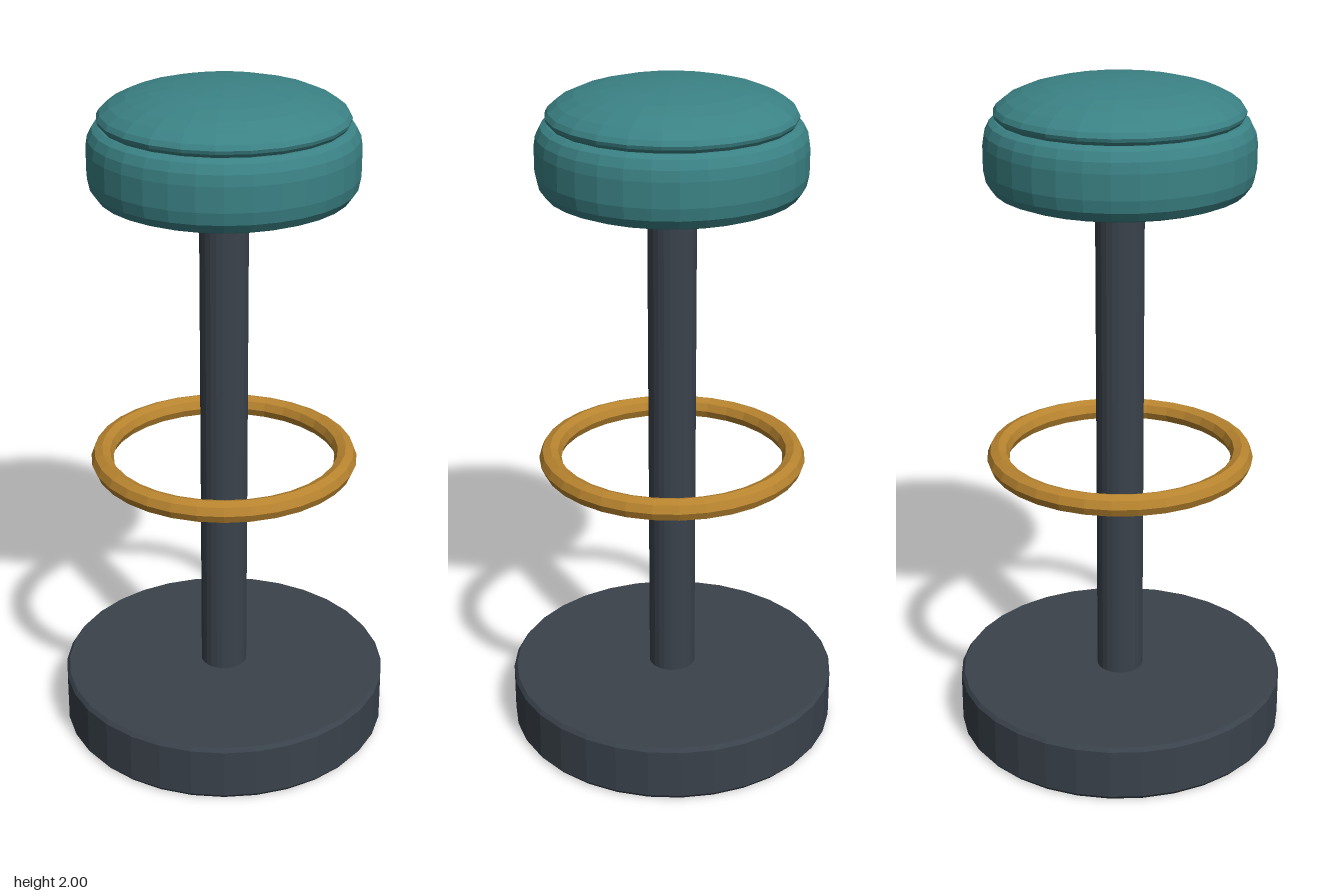
import * as THREE from 'three';

const material = (color) => new THREE.MeshStandardMaterial({ color, flatShading: true });

export function createModel() {
  const group = new THREE.Group();
  const metal = material(0x3a424b);
  const fabric = material(0x3b8285);
  const brass = material(0xb8842f);

  const add = (name, geometry, mat, y = 0) => {
    const mesh = new THREE.Mesh(geometry, mat);
    mesh.name = name;
    mesh.position.y = y;
    group.add(mesh);
    return mesh;
  };
  // Turned part from [radius, height] pairs, bottom to top
  const turned = (points, sides) =>
    new THREE.LatheGeometry(points.map(([r, y]) => new THREE.Vector2(r, y)), sides);

  // Heavy round base with softened rims
  add('base', turned([
    [0, 0], [0.485, 0], [0.494, 0.012], [0.494, 0.162], [0.485, 0.174], [0, 0.174],
  ], 32), metal);

  // Central column
  add('column', new THREE.CylinderGeometry(0.07, 0.07, 1.55, 24), metal, 0.925);

  // Foot ring
  const ring = new THREE.TorusGeometry(0.361, 0.033, 8, 32);
  ring.rotateX(Math.PI / 2);
  add('footRing', ring, brass, 0.883);

  // Padded seat body
  add('seat', turned([
    [0, 1.685], [0.33, 1.685], [0.355, 1.695], [0.373, 1.72], [0.38, 1.755],
    [0.38, 1.825], [0.375, 1.855], [0.362, 1.88], [0.345, 1.89], [0, 1.89],
  ], 32), fabric);

  // Domed cushion above the seam
  add('cushion', turned([
    [0, 1.885], [0.335, 1.885], [0.347, 1.9], [0.35, 1.91], [0.342, 1.924], [0.315, 1.945],
    [0.27, 1.965], [0.21, 1.981], [0.14, 1.992], [0.07, 1.998], [0, 2],
  ], 24), fabric);

  return group;
}
